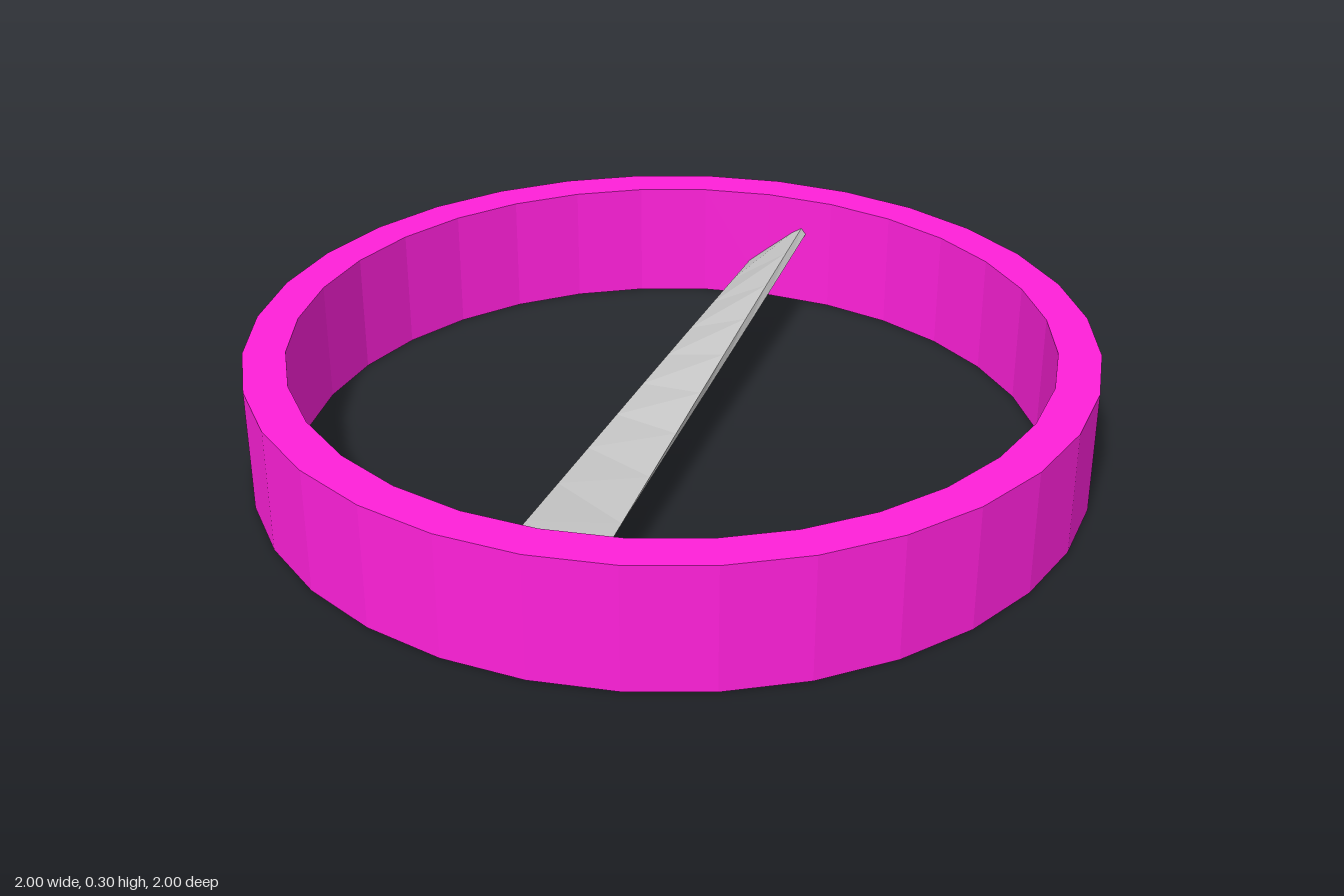
import * as THREE from 'three';

export function createModel() {
  const group = new THREE.Group();

  // Faceted hoop with a rectangular section
  const profile = [[1, 0], [1, 0.3], [0.9, 0.3], [0.9, 0], [1, 0]]
    .map(([r, y]) => new THREE.Vector2(r, y));
  const ring = new THREE.Mesh(
    new THREE.LatheGeometry(profile, 32),
    new THREE.MeshStandardMaterial({ color: 0xff20da, flatShading: true })
  );
  ring.name = 'ring';
  group.add(ring);

  // Thin bar across the hoop: level in the middle, tilting steadily towards both ends
  const geometry = new THREE.BoxGeometry(0.146, 0.02, 1.86, 1, 1, 10);
  const pos = geometry.attributes.position;
  for (let i = 0; i < pos.count; i++) {
    const x = pos.getX(i), y = pos.getY(i), z = pos.getZ(i);
    const slope = -0.9 * z;
    const tilt = Math.atan(slope);
    pos.setXY(i, x - y * Math.sin(tilt), x * slope + y * Math.cos(tilt));
  }
  geometry.computeVertexNormals();
  const blade = new THREE.Mesh(
    geometry,
    new THREE.MeshStandardMaterial({ color: 0xcccccc, flatShading: true })
  );
  blade.name = 'twistedBlade';
  blade.position.y = 0.15;
  blade.rotation.y = 0.558;
  group.add(blade);

  return group;
}
